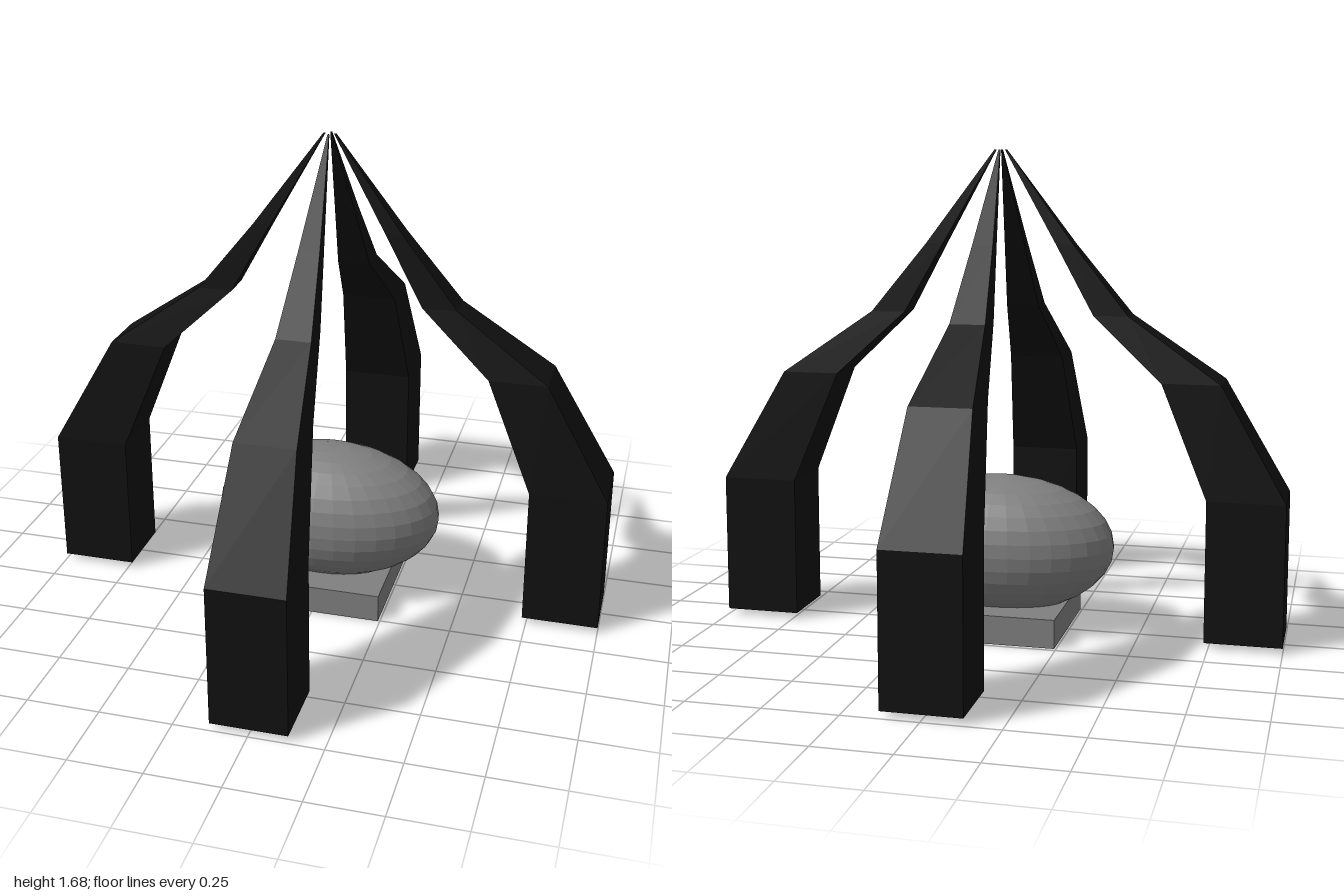
import * as THREE from 'three';

const black = new THREE.MeshStandardMaterial({ color: 0x111111, flatShading: true });
const grey = new THREE.MeshStandardMaterial({ color: 0x808080, flatShading: true });

// Leg sections from foot to tip: height, inner reach, outer reach
const sections = [
  [0.02, 0.735, 1.0],
  [0.51, 0.735, 1.0],
  [0.90, 0.575, 0.775],
  [1.12, 0.335, 0.455],
  [1.36, 0.2, 0.26],
  [1.68, 0.015, 0.022],
];

// A segmented box reshaped into a bent leg reaching along +x;
// its width (and sideways shift) tapers with the inner reach.
function legGeometry(halfWidth, shift, inset) {
  const steps = sections.length - 1;
  const geo = new THREE.BoxGeometry(1, 1, 1, 1, steps, 1);
  const p = geo.attributes.position;
  for (let i = 0; i < p.count; i++) {
    const [y, inner, outer] = sections[Math.round((p.getY(i) + 0.5) * steps)];
    const taper = inner / sections[0][1];
    const x = p.getX(i) > 0 ? outer - inset * taper : inner + inset * taper;
    const z = (Math.sign(p.getZ(i)) * halfWidth + shift) * taper;
    p.setXYZ(i, x, y, z);
  }
  geo.computeVertexNormals();
  return geo;
}

export function createModel() {
  const model = new THREE.Group();
  const add = (name, geo, material) => {
    const mesh = new THREE.Mesh(geo, material);
    mesh.name = name;
    model.add(mesh);
    return mesh;
  };

  // Four legs meeting at the top; side legs are slightly narrower
  ['leftLeg', 'backLeg', 'rightLeg', 'frontLeg'].forEach((name, i) => {
    const side = i % 2 === 0;
    const shift = side ? 0.01 * (1 - i) : 0;
    const geo = legGeometry(side ? 0.12 : 0.13, shift, side ? 0 : 0.01);
    add(name, geo, black).rotation.y = (i * Math.PI) / 2;
  });

  // Square plinth with an ellipsoid resting on it
  add('plinth', new THREE.BoxGeometry(0.486, 0.1, 0.486), grey).position.set(0, 0.05, 0.01);
  const egg = add('ellipsoid', new THREE.SphereGeometry(1, 32, 16), grey);
  egg.scale.set(0.405, 0.243, 0.243);
  egg.position.set(0, 0.3, 0.01);

  return model;
}
